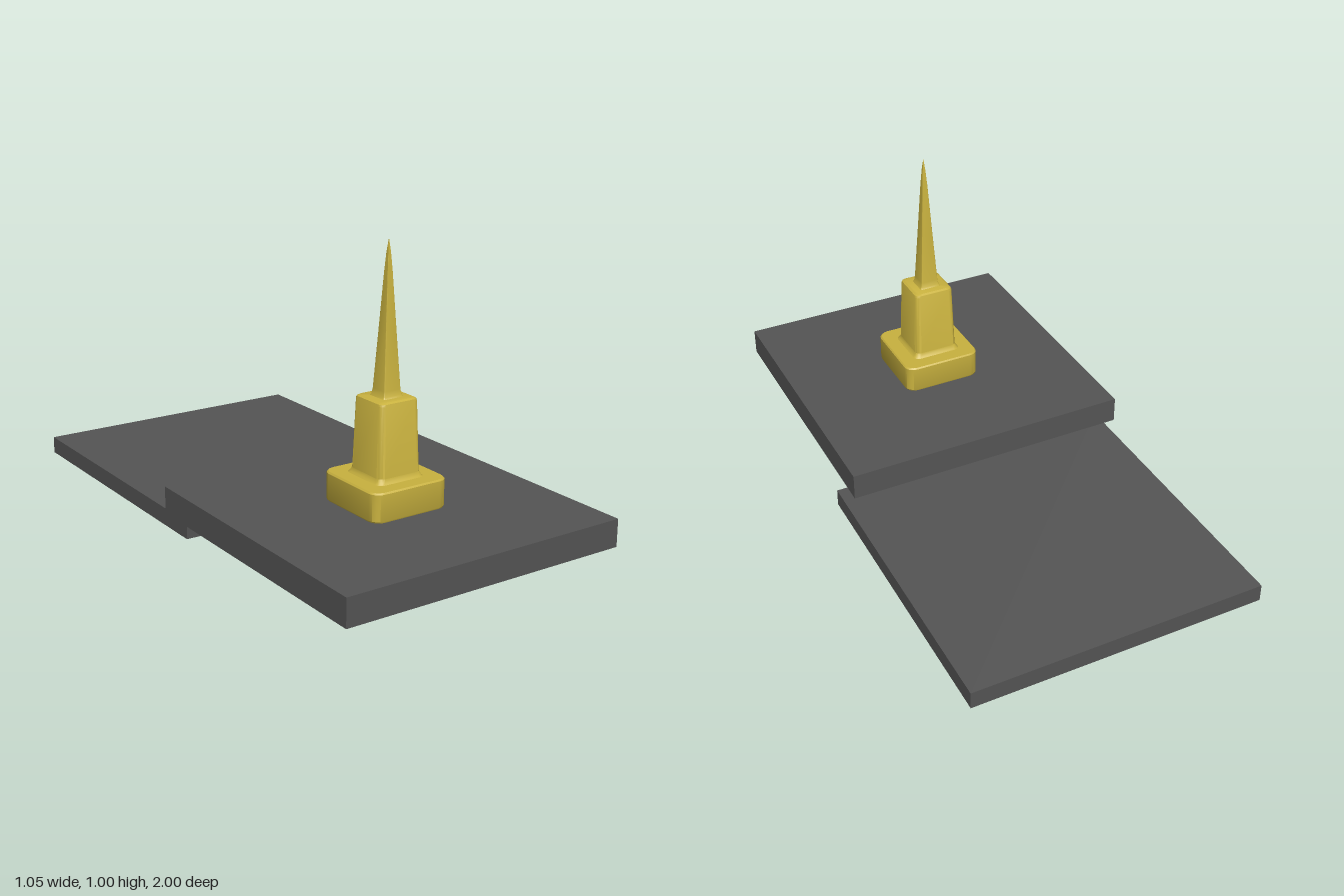
import * as THREE from 'three';
import { toCreasedNormals } from 'three/addons/utils/BufferGeometryUtils.js';

const STEPS = 4; // segments per rounded corner

// Lofts rounded squares given as [y, half width, corner radius], closed at both ends.
function loftSquares(sections) {
  const pos = [], index = [];
  const n = 4 * (STEPS + 1);
  for (const [y, half, r] of sections) {
    for (let c = 0; c < 4; c++) {
      const mid = Math.PI / 4 + c * Math.PI / 2;
      const cx = Math.sign(Math.cos(mid)) * (half - r);
      const cz = Math.sign(Math.sin(mid)) * (half - r);
      for (let s = 0; s <= STEPS; s++) {
        const a = c * Math.PI / 2 + (s / STEPS) * Math.PI / 2;
        pos.push(cx + r * Math.cos(a), y, cz + r * Math.sin(a));
      }
    }
  }
  for (let k = 0; k < sections.length - 1; k++) {
    for (let i = 0; i < n; i++) {
      const a = k * n + i, b = k * n + (i + 1) % n;
      index.push(a, a + n, b, b, a + n, b + n);
    }
  }
  const last = (sections.length - 1) * n;
  for (let i = 1; i < n - 1; i++) {
    index.push(0, i, i + 1);
    index.push(last, last + i + 1, last + i);
  }
  const geo = new THREE.BufferGeometry();
  geo.setAttribute('position', new THREE.Float32BufferAttribute(pos, 3));
  geo.setIndex(index);
  return toCreasedNormals(geo, 0.5);
}

export function createModel() {
  const group = new THREE.Group();
  const slabMat = new THREE.MeshStandardMaterial({ color: 0x555555 });
  const goldMat = new THREE.MeshStandardMaterial({ color: 0xc9b23f });
  const TURN = 0.035; // everything is turned slightly about y

  const add = (name, geo, mat, y, z) => {
    const mesh = new THREE.Mesh(geo, mat);
    mesh.name = name;
    mesh.position.set(-0.003, y, z);
    mesh.rotation.y = TURN;
    group.add(mesh);
  };

  // Two overlapping ground slabs
  add('lowerSlab', new THREE.BoxGeometry(1.011, 0.06, 1.031), slabMat, 0.03, -0.467);
  add('upperSlab', new THREE.BoxGeometry(1.011, 0.092, 1.011), slabMat, 0.117, 0.475);

  // Tower: wide plinth, tapered shaft and slender spire
  add('plinth', loftSquares([
    [0.163, 0.139, 0.035],
    [0.168, 0.141, 0.035],
    [0.254, 0.141, 0.035],
    [0.259, 0.137, 0.034],
  ]), goldMat, 0, 0.475);
  add('shaft', loftSquares([
    [0.256, 0.092, 0.022],
    [0.263, 0.085, 0.02],
    [0.275, 0.079, 0.018],
    [0.502, 0.072, 0.018],
    [0.508, 0.07, 0.018],
    [0.512, 0.063, 0.016],
  ]), goldMat, 0, 0.475);
  add('spire', loftSquares([
    [0.51, 0.039, 0.005],
    [0.518, 0.034, 0.004],
    [0.535, 0.031, 0.003],
    [0.72, 0.02, 0.002],
    [0.9, 0.0095, 0.001],
    [0.96, 0.005, 0.0005],
    [0.998, 0.0005, 0.0001],
  ]), goldMat, 0, 0.475);

  return group;
}
